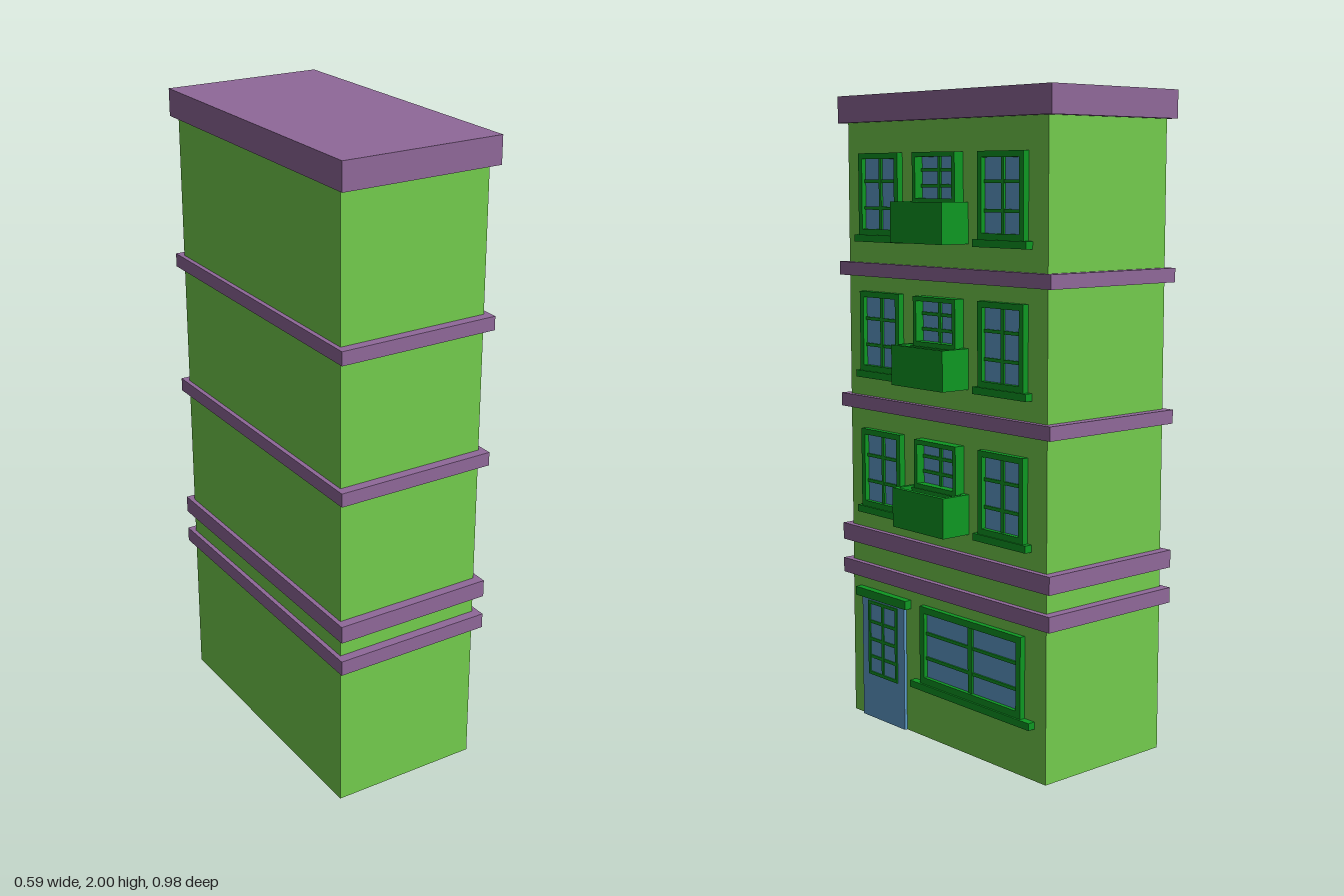
import * as THREE from 'three';

const mat = (name, color) => {
  const m = new THREE.MeshStandardMaterial({ color });
  m.name = name;
  return m;
};

export function createModel() {
  const wallGreen = mat('wall green', 0x73cc4d);
  const trimPurple = mat('trim purple', 0x8f6899);
  const frameGreen = mat('frame green', 0x0e9822);
  const paneBlue = mat('pane blue', 0x5f9dcc);
  const WALL = 0.193; // plane of the facade, which faces +x

  // Box given by its limits on each axis
  const box = (parent, name, material, x0, x1, y0, y1, z0, z1) => {
    const mesh = new THREE.Mesh(new THREE.BoxGeometry(x1 - x0, y1 - y0, z1 - z0), material);
    mesh.position.set((x0 + x1) / 2, (y0 + y1) / 2, (z0 + z1) / 2);
    mesh.name = name;
    parent.add(mesh);
    return mesh;
  };
  const group = (parent, name) => {
    const g = new THREE.Group();
    g.name = name;
    parent.add(g);
    return g;
  };

  // Rectangular border standing out from the facade to depth x
  const border = (parent, name, x, y0, y1, z0, z1, w) => {
    const shape = new THREE.Shape([[z0, y0], [z1, y0], [z1, y1], [z0, y1]].map(p => new THREE.Vector2(-p[0], p[1])));
    const i = w;
    shape.holes.push(new THREE.Path([[z0 + i, y0 + i], [z0 + i, y1 - i], [z1 - i, y1 - i], [z1 - i, y0 + i]]
      .map(p => new THREE.Vector2(-p[0], p[1]))));
    const geo = new THREE.ExtrudeGeometry(shape, { depth: x - WALL, bevelEnabled: false });
    geo.rotateY(Math.PI / 2);
    geo.translate(WALL, 0, 0);
    const mesh = new THREE.Mesh(geo, frameGreen);
    mesh.name = name;
    parent.add(mesh);
  };

  // Vertical and horizontal glazing bars
  const bars = (parent, x, y0, y1, z0, z1, centreW, rows) => {
    const zc = (z0 + z1) / 2;
    box(parent, 'verticalBar', frameGreen, WALL, x, y0, y1, zc - centreW / 2, zc + centreW / 2);
    for (const y of rows) box(parent, 'horizontalBar', frameGreen, WALL, x - 0.001, y - 0.005, y + 0.005, z0, z1);
  };

  // Framed window with pane, bars and projecting sill
  const windowUnit = (parent, name, o) => {
    const g = group(parent, name);
    const { y0, y1, z0, z1, x, w } = o;
    box(g, 'pane', paneBlue, WALL - 0.005, WALL + 0.005, y0 + 0.005, y1 - 0.005, z0 + 0.005, z1 - 0.005);
    border(g, 'frame', x, y0, y1, z0, z1, w);
    const h = y1 - y0 - 2 * w;
    bars(g, WALL + 0.011, y0 + w, y1 - w, z0 + w, z1 - w, o.centreW, [0.3, 0.685].map(t => y0 + w + h * t));
    box(g, 'sill', frameGreen, WALL, o.sillX, y0 - o.sillH, y0, z0 - o.over, z1 + o.over);
  };

  // Open window box with a floor and four walls
  const planter = (parent, top) => {
    const g = group(parent, 'windowBox');
    const y0 = top - 0.122, z = 0.12, x0 = WALL, x1 = 0.294, t = 0.014;
    box(g, 'boxFloor', frameGreen, x0, x1, y0, y0 + t, -z, z);
    box(g, 'boxFront', frameGreen, x1 - t, x1, y0 + t, top, -z, z);
    for (const s of [-1, 1]) {
      const a = s * z, b = s * (z - t);
      box(g, 'boxEnd', frameGreen, x0, x1 - t, y0 + t, top, Math.min(a, b), Math.max(a, b));
    }
    box(g, 'boxBack', frameGreen, x0, x0 + t, y0 + t, top, -z + t, z - t);
  };

  const model = new THREE.Group();
  model.name = 'townhouse';

  // Walls, floor bands and flat roof
  box(model, 'walls', wallGreen, -0.283, WALL, 0, 1.93, -0.458, 0.458);
  for (const [y0, y1] of [[0.466, 0.513], [0.576, 0.63], [1.018, 1.06], [1.441, 1.483]])
    box(model, 'floorBand', trimPurple, -0.297, 0.211, y0, y1, -0.488, 0.488);
  box(model, 'roof', trimPurple, -0.297, 0.211, 1.917, 2, -0.488, 0.488);

  // Three upper storeys
  for (const top of [1.822, 1.394, 0.956]) {
    const storey = group(model, 'upperStorey');
    for (const zc of [0.284, -0.28])
      windowUnit(storey, 'sideWindow', {
        y0: top - 0.251, y1: top, z0: zc - 0.098, z1: zc + 0.098, x: 0.213, w: 0.018,
        centreW: 0.012, sillX: 0.218, sillH: 0.022, over: 0.017,
      });
    windowUnit(storey, 'middleWindow', {
      y0: top - 0.15, y1: top, z0: -0.098, z1: 0.098, x: 0.227, w: 0.014,
      centreW: 0.012, sillX: 0.23, sillH: 0.014, over: 0.012,
    });
    planter(storey, top - 0.145);
  }

  // Shop window
  windowUnit(model, 'groundWindow', {
    y0: 0.18, y1: 0.428, z0: -0.368, z1: 0.096, x: 0.211, w: 0.021,
    centreW: 0.02, sillX: 0.217, sillH: 0.022, over: 0.042,
  });

  // Front door with glazing grid and lintel
  const door = group(model, 'frontDoor');
  box(door, 'doorPanel', paneBlue, WALL - 0.01, 0.203, 0, 0.405, 0.184, 0.4);
  border(door, 'doorGlazingFrame', 0.207, 0.146, 0.392, 0.218, 0.366, 0.01);
  bars(door, 0.207, 0.15, 0.388, 0.222, 0.362, 0.01, [0.207, 0.265, 0.323]);
  box(door, 'lintel', frameGreen, WALL, 0.217, 0.402, 0.43, 0.16, 0.417);

  return model;
}
